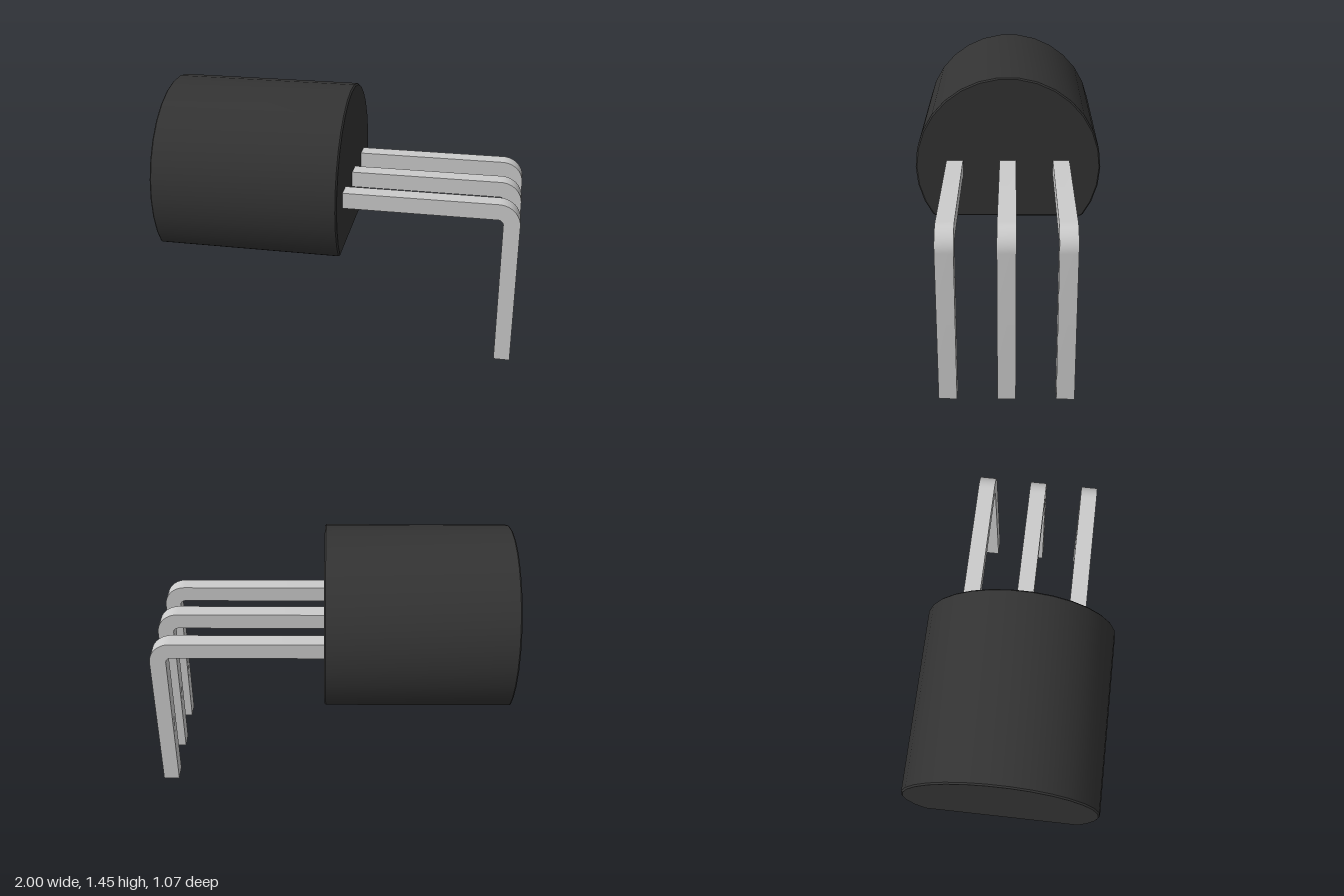
import * as THREE from 'three';
import { toCreasedNormals } from 'three/addons/utils/BufferGeometryUtils.js';

const bodyMaterial = new THREE.MeshStandardMaterial({ color: 0x333333 });
const pinMaterial = new THREE.MeshStandardMaterial({ color: 0xcccccc });

// D-shaped case: a 30-sided round with a flat underside, extruded along x
function makeBody() {
  const radius = 0.533, centreY = 0.92, flatY = 0.613, bevel = 0.008;
  const points = [new THREE.Vector2(0.427, flatY)];
  points.push(new THREE.Vector2(0.441, 0.623));
  for (let degrees = 114; degrees >= -114; degrees -= 12) {
    const a = THREE.MathUtils.degToRad(degrees);
    points.push(new THREE.Vector2(radius * Math.sin(a), centreY + radius * Math.cos(a)));
  }
  points.push(new THREE.Vector2(-0.441, 0.623), new THREE.Vector2(-0.427, flatY));

  const x0 = -1, x1 = 0.036;
  const geometry = new THREE.ExtrudeGeometry(new THREE.Shape(points), {
    depth: x1 - x0 - 2 * bevel,
    bevelEnabled: true, bevelSize: bevel, bevelThickness: bevel,
    bevelOffset: -bevel, bevelSegments: 1,
  });
  geometry.rotateY(Math.PI / 2).translate(x0 + bevel, 0, 0);
  const mesh = new THREE.Mesh(toCreasedNormals(geometry, 0.5), bodyMaterial);
  mesh.name = 'body';
  return mesh;
}

// Flat lead that leaves the case, bends down and ends at the ground
function makePinGeometry() {
  const start = 0.02, end = 1, top = 0.962, thick = 0.09, width = 0.095;
  const outer = 0.12, inner = outer - thick;
  const cx = end - outer, cy = top - outer;
  const shape = new THREE.Shape();
  shape.moveTo(start, top - thick);
  shape.lineTo(cx, top - thick);
  shape.absarc(cx, cy, inner, Math.PI / 2, 0, true);
  shape.lineTo(end - thick, 0);
  shape.lineTo(end, 0);
  shape.lineTo(end, cy);
  shape.absarc(cx, cy, outer, 0, Math.PI / 2, false);
  shape.lineTo(start, top);
  shape.closePath();
  const geometry = new THREE.ExtrudeGeometry(shape, {
    depth: width, bevelEnabled: false, curveSegments: 8,
  });
  geometry.translate(0, 0, -width / 2);
  return toCreasedNormals(geometry, 0.6);
}

export function createModel() {
  const model = new THREE.Group();
  model.name = 'transistor';
  model.add(makeBody());

  // Three equally spaced leads
  const pinGeometry = makePinGeometry();
  ['backPin', 'middlePin', 'frontPin'].forEach((name, i) => {
    const pin = new THREE.Mesh(pinGeometry, pinMaterial);
    pin.name = name;
    pin.position.z = (i - 1) * 0.306;
    model.add(pin);
  });
  return model;
}
